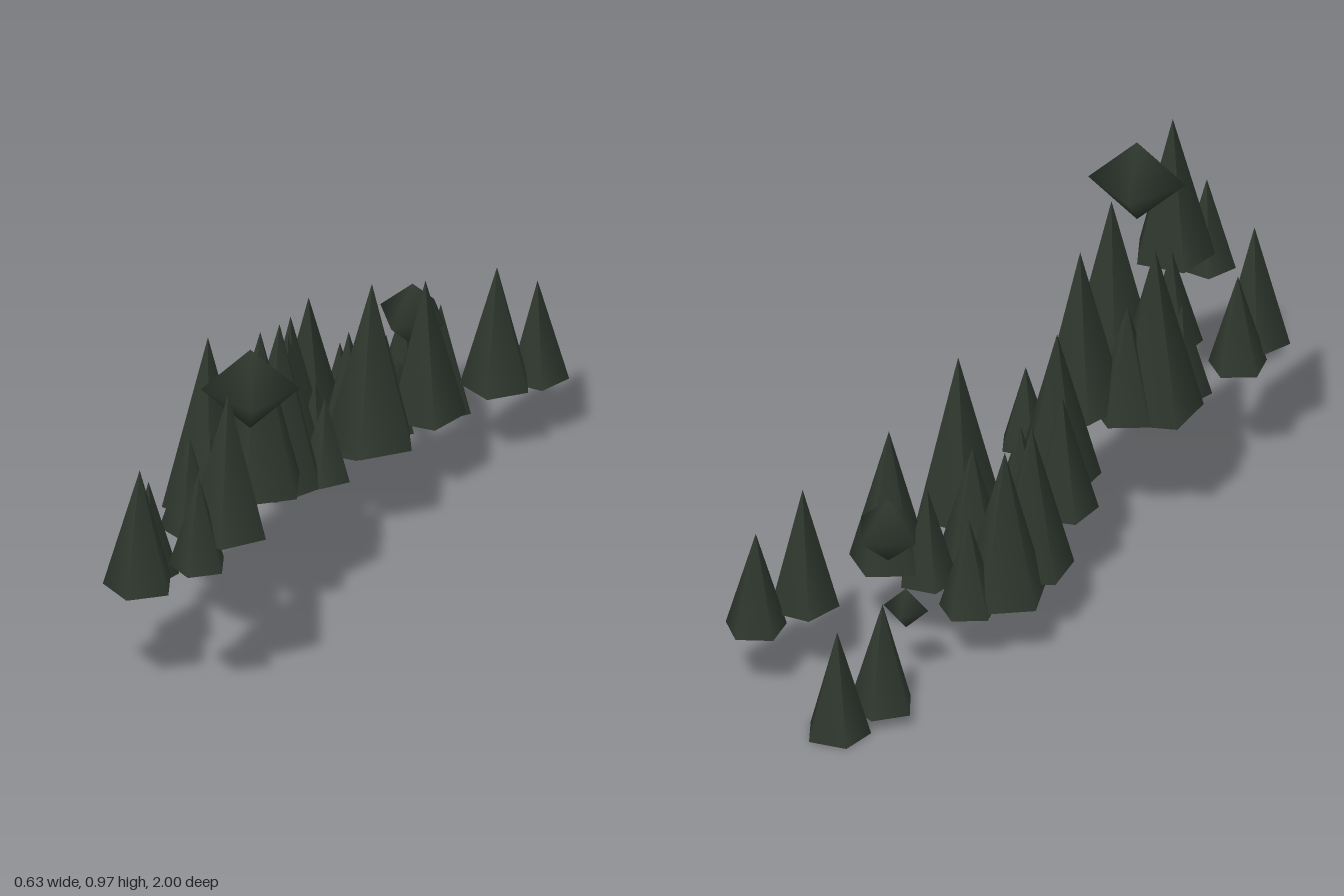
import * as THREE from 'three';

export function createModel() {
  const group = new THREE.Group();
  group.name = 'hillsideForest';
  const foliage = new THREE.MeshStandardMaterial({ color: 0x2e372e });
  foliage.name = 'darkFoliage';

  // Five-sided pines: x, z, base y, tip y, turn
  const pines = [
    [0.025, 0.835, 0.54, 0.94, 0.2],
    [-0.022, 0.925, 0.475, 0.73, 0],
    [-0.212, 0.855, 0.345, 0.68, 0],
    [-0.228, 0.75, 0.325, 0.59, 0.6],
    [-0.105, 0.625, 0.42, 0.69, 0.3],
    [-0.038, 0.44, 0.46, 0.91, 0],
    [-0.05, 0.27, 0.395, 0.845, 0.1],
    [-0.2, 0.395, 0.365, 0.84, 0.4],
    [-0.2, 0.525, 0.35, 0.61, 0.1],
    [-0.16, 0.325, 0.37, 0.69, 0.6],
    [-0.1, 0.08, 0.285, 0.71, 0.4],
    [-0.148, 0.03, 0.23, 0.56, 0.3],
    [0.015, 0.11, 0.33, 0.56, 0.2],
    [-0.08, -0.065, 0.25, 0.5, 0.5],
    [-0.17, -0.11, 0.2, 0.43, 0.1],
    [0.025, -0.2, 0.285, 0.74, 0.11],
    [-0.2, -0.2, 0.185, 0.6, 0.5],
    [-0.2, -0.33, 0.165, 0.59, 0.7],
    [-0.07, -0.28, 0.21, 0.54, 0.6],
    [0.075, -0.455, 0.245, 0.63, 0.6],
    [-0.02, -0.42, 0.2, 0.47, 0.2],
    [-0.15, -0.425, 0.155, 0.42, 0.6],
    [0.172, -0.718, 0.215, 0.555, 0.1],
    [0.236, -0.843, 0.185, 0.465, 0.51],
    [-0.118, -0.79, 0.037, 0.34, 0.86],
    [-0.06, -0.917, 0, 0.3, 0.21],
  ];
  for (const [x, z, base, tip, turn] of pines) {
    // Taller pines are wider
    const height = tip - base;
    const pine = new THREE.Mesh(new THREE.ConeGeometry(0.02 + 0.225 * height, height, 5), foliage);
    pine.name = 'pine';
    pine.position.set(x, base + height / 2, z);
    pine.rotation.y = turn;
    group.add(pine);
  }

  // Diamond-shaped crowns: x, y, z, radius, half height, turn
  const crowns = [
    [0.012, 0.855, 0.642, 0.128, 0.115, 0.39],
    [-0.018, 0.437, -0.605, 0.1, 0.09, -0.22],
    [-0.085, 0.236, -0.625, 0.06, 0.058, 0.3],
  ];
  for (const [x, y, z, r, h, turn] of crowns) {
    const crown = new THREE.Mesh(new THREE.SphereGeometry(1, 4, 2), foliage);
    crown.name = 'diamondCrown';
    crown.scale.set(r, h, r);
    crown.position.set(x, y, z);
    crown.rotation.y = turn;
    group.add(crown);
  }
  return group;
}
